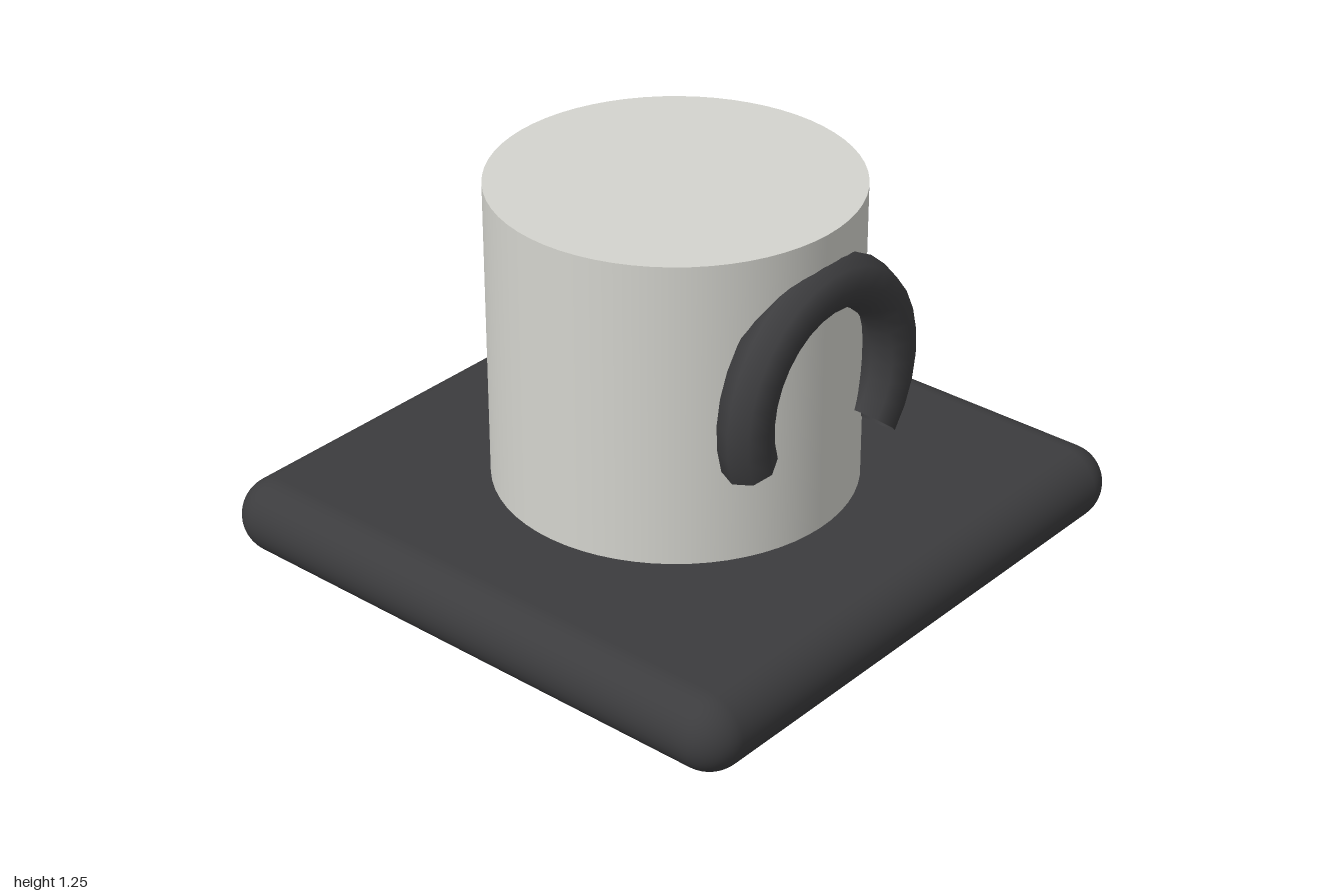
import * as THREE from 'three';
import { RoundedBoxGeometry } from 'three/addons/geometries/RoundedBoxGeometry.js';

export function createModel() {
  const model = new THREE.Group();
  model.name = 'cupOnTray';

  const dark = new THREE.MeshStandardMaterial({ color: 0x3c3c3e, side: THREE.DoubleSide });
  const light = new THREE.MeshStandardMaterial({ color: 0xd4d4ce });

  const add = (name, geometry, material, x, y, z) => {
    const mesh = new THREE.Mesh(geometry, material);
    mesh.name = name;
    mesh.position.set(x, y, z);
    model.add(mesh);
  };

  // Square tray with fully rounded rim
  add('tray', new RoundedBoxGeometry(2, 0.25, 2, 6, 0.125), dark, 0, 0.125, 0);

  // Solid cup body standing on the tray
  add('cupBody', new THREE.CylinderGeometry(0.58, 0.58, 1, 64), light, 0, 0.75, 0);

  // Open-ended ring handle, half sunk into the cup's left side
  const deg = THREE.MathUtils.degToRad;
  const ring = new THREE.TorusGeometry(0.342, 0.085, 8, 20, deg(240));
  ring.rotateZ(deg(-40)).rotateY(Math.PI / 2);
  add('handle', ring, dark, 0.56, 0.73, 0);

  return model;
}
